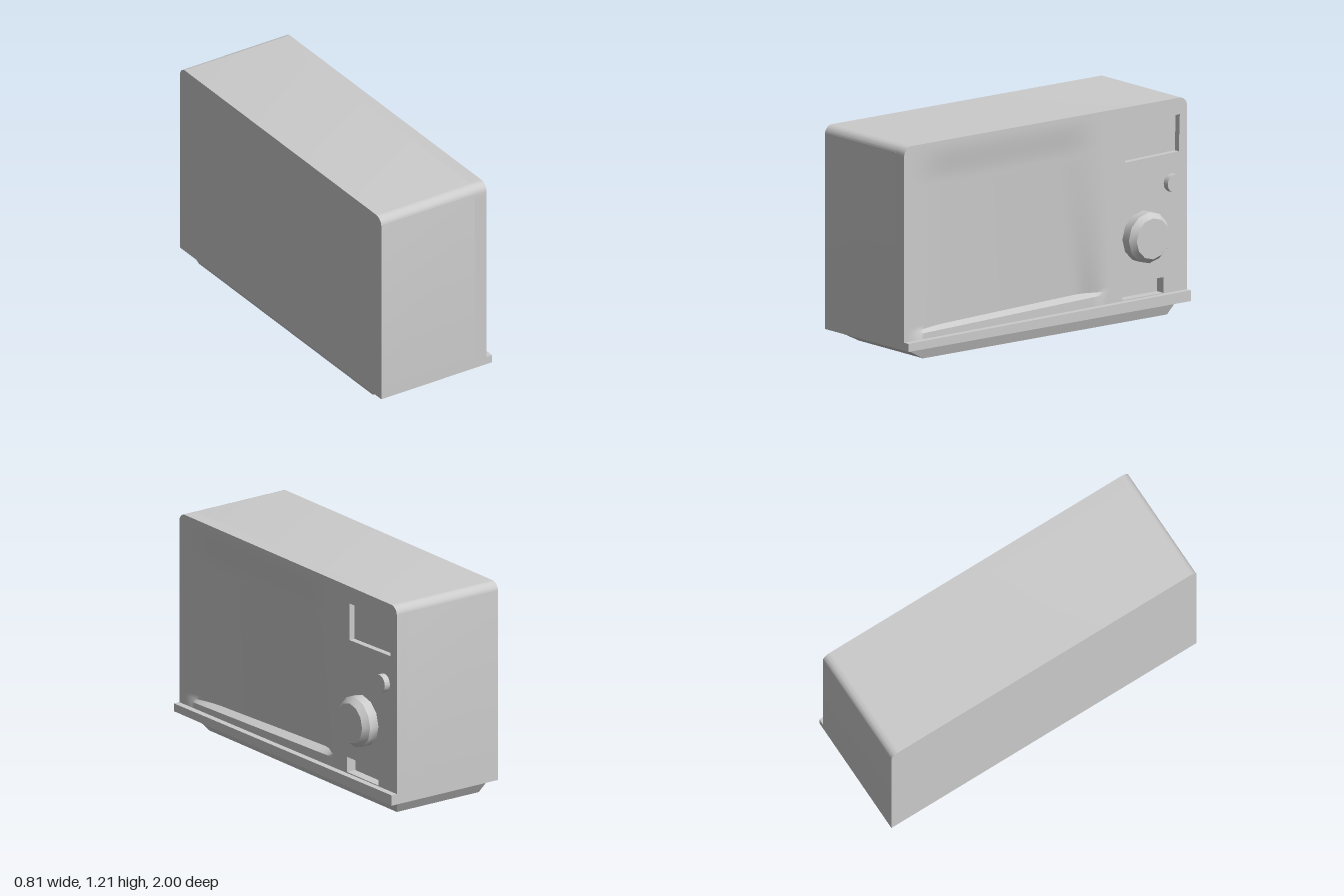
import * as THREE from 'three';
import { toCreasedNormals } from 'three/addons/utils/BufferGeometryUtils.js';

const BACK = -0.361, CORE = 0.25, FACE = 0.324, LIP = 0.36; // x planes
const HZ = 0.985, Y0 = 0.08, Y1 = 1.212, R = 0.05, SPLIT = -0.5;

export function createModel() {
  const group = new THREE.Group();
  const mat = new THREE.MeshStandardMaterial({ color: 0xcccccc });
  const add = (name, geo) => {
    const mesh = new THREE.Mesh(geo, mat);
    mesh.name = name;
    group.add(mesh);
    return mesh;
  };

  // Side profiles are drawn in (-z, y) and extruded along x
  const extrudeX = (shape, x0, x1) => {
    const geo = new THREE.ExtrudeGeometry(shape, { depth: x1 - x0, bevelEnabled: false, curveSegments: 12 });
    geo.rotateY(Math.PI / 2).translate(x0, 0, 0);
    return toCreasedNormals(geo, 0.6);
  };
  const poly = (pts, Type = THREE.Shape) => new Type(pts.map(([z, y]) => new THREE.Vector2(-z, y)));
  const outline = (zFront, roundFront) => {
    const s = new THREE.Shape();
    s.moveTo(-zFront, Y0);
    s.lineTo(HZ, Y0);
    s.lineTo(HZ, Y1 - R);
    s.absarc(HZ - R, Y1 - R, R, 0, Math.PI / 2, false);
    if (roundFront) s.absarc(-zFront + R, Y1 - R, R, Math.PI / 2, Math.PI, false);
    else s.lineTo(-zFront, Y1);
    s.closePath();
    return s;
  };

  // Cabinet
  add('cabinet', extrudeX(outline(HZ, true), BACK, CORE));

  // Control panel with openings, each closed by a set-back floor
  const panel = outline(SPLIT, false);
  const recesses = [
    ['displayWindow', [[-0.555, 1.115], [-0.935, 1.12], [-0.928, 0.915], [-0.555, 0.905]], 0.035],
    ['latchRecess', [[-0.535, 0.23], [-0.82, 0.23], [-0.82, 0.143], [-0.535, 0.143]], 0.055],
  ];
  for (const [name, corners, depth] of recesses) {
    panel.holes.push(poly(corners, THREE.Path));
    add(name, extrudeX(poly(corners), CORE, FACE - depth));
  }
  add('controlPanel', extrudeX(panel, CORE, FACE));

  // Door: a height field with a shallow dish, wrapped by its outer walls
  add('door', doorGeometry());

  // Sill along the foot of the door
  add('sill', extrudeX(poly([[HZ, Y0], [-HZ, Y0], [-HZ, 0.14], [HZ, 0.125]]), CORE, LIP));

  // Knob with a bevelled rim
  const knobProfile = [[0, 0], [0.142, 0], [0.142, 0.056], [0.114, 0.09], [0, 0.09]];
  const knob = add('knob', toCreasedNormals(
    new THREE.LatheGeometry(knobProfile.map(([r, h]) => new THREE.Vector2(r, h)), 12), 0.6));
  knob.rotation.z = -Math.PI / 2;
  knob.position.set(FACE, 0.48, -0.677);

  // Small push button
  const button = add('button', new THREE.CylinderGeometry(0.05, 0.05, 0.035, 16));
  button.rotation.z = -Math.PI / 2;
  button.position.set(FACE + 0.0175, 0.75, -0.873);

  // Tapered base
  const base = new THREE.BoxGeometry(1, Y0, 1);
  const p = base.attributes.position;
  for (let i = 0; i < p.count; i++) {
    const top = p.getY(i) > 0;
    const [xa, xb, za, zb] = top ? [-0.328, 0.289, -0.945, 0.955] : [-0.296, 0.259, -0.898, 0.8];
    p.setXYZ(i, p.getX(i) < 0 ? xa : xb, top ? Y0 : 0, p.getZ(i) < 0 ? za : zb);
  }
  add('base', toCreasedNormals(base, 0.2));

  // The whole appliance is turned slightly
  group.rotation.y = 0.0457;
  return group;
}

function doorGeometry() {
  const cols = 70, rows = 46;
  const { smoothstep, lerp, clamp } = THREE.MathUtils;
  const pos = [], idx = [];
  for (let i = 0; i <= cols; i++) {
    const z = HZ - (HZ - SPLIT) * Math.pow(Math.max(0, i - 1) / (cols - 1), 1.6);
    const over = Math.max(0, z - (HZ - R));
    const top = Y1 - R + Math.sqrt(Math.max(0, R * R - over * over));
    const floor = 0.16 + 0.025 * (0.8 - z);
    for (let j = 0; j <= rows; j++) {
      // The first rows follow the steep ledge at the foot of the dish
      const v = clamp((j - 3) / (rows - 4), 0, 1);
      const y = j < 2 ? Y0 : j === 2 ? floor : lerp(floor + 0.018, top, v);
      // The dish is deepest, and its right flank steepest, at the lower right
      const rise = clamp((y - 0.17) / 0.8, 0, 1);
      const depth = j < 3 ? 0 : lerp(0.045 + 0.015 * smoothstep(-z, -0.8, 0.3), 0.022, rise);
      const across = (1 - smoothstep(z, 0.66, 0.98)) * smoothstep(z, -0.43, lerp(-0.27, -0.12, rise));
      const dish = depth * across * (1 - smoothstep(y, 0.97, 1.2));
      const wall = i === 0 || j === 0 || j === rows;
      pos.push(wall ? CORE : FACE - dish, y, z);
      if (i < cols && j < rows) {
        const a = i * (rows + 1) + j, b = a + rows + 1;
        idx.push(a, b, b + 1, a, b + 1, a + 1);
      }
    }
  }
  const geo = new THREE.BufferGeometry();
  geo.setAttribute('position', new THREE.Float32BufferAttribute(pos, 3));
  geo.setIndex(idx);
  return toCreasedNormals(geo, 0.7);
}
